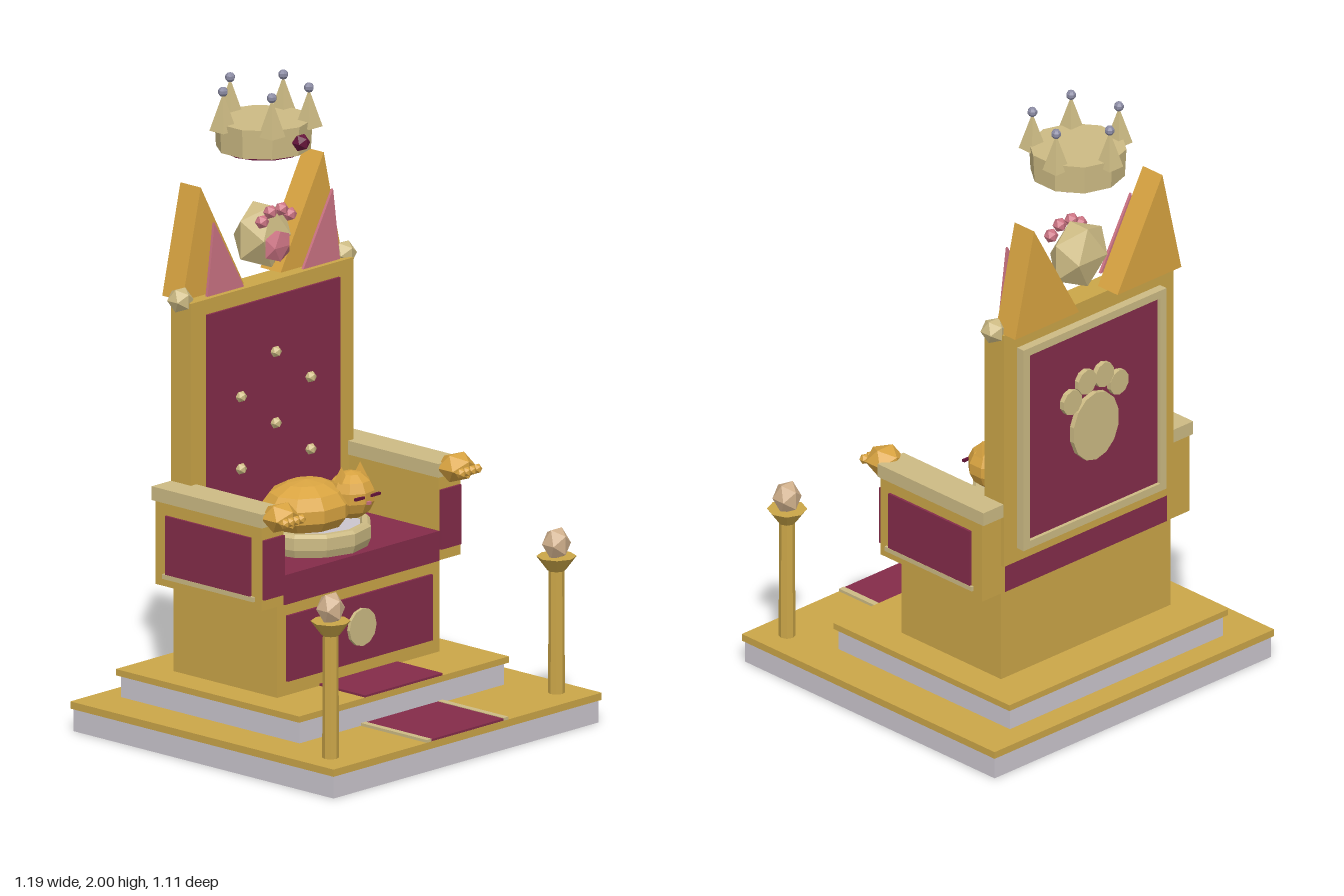
import * as THREE from 'three';

const mat = (name, color) => {
  const m = new THREE.MeshStandardMaterial({ color });
  m.name = name;
  return m;
};

export function createModel() {
  const gold = mat('gold', 0xcba648), amber = mat('amber', 0xd9a441), stone = mat('stone', 0xcbc6ce);
  const cream = mat('cream', 0xcdbb84), red = mat('velvet red', 0x842c4a), pink = mat('pink', 0xcc7484);
  const flame = mat('tan crystal', 0xd0b08c), gem = mat('dark garnet', 0x64143a), pearl = mat('slate pearl', 0x8c8ca4);

  const root = new THREE.Group();
  root.name = 'throne';

  // Faceted mesh helper
  const add = (name, geo, material, x = 0, y = 0, z = 0, parent = root) => {
    const g = geo.index ? geo.toNonIndexed() : geo;
    g.computeVertexNormals();
    const m = new THREE.Mesh(g, material);
    m.name = name;
    m.position.set(x, y, z);
    parent.add(m);
    return m;
  };
  // Box from its min and max on each axis
  const box = (name, material, x0, x1, y0, y1, z0, z1) =>
    add(name, new THREE.BoxGeometry(x1 - x0, y1 - y0, z1 - z0), material, (x0 + x1) / 2, (y0 + y1) / 2, (z0 + z1) / 2);
  const ico = (name, material, r, x, y, z, sx = 1, sy = 1, sz = 1) =>
    add(name, new THREE.IcosahedronGeometry(r, 0).scale(sx, sy, sz), material, x, y, z);
  // Disc facing along z
  const disc = (name, material, rx, ry, depth, x, y, z, sides = 12) =>
    add(name, new THREE.CylinderGeometry(1, 1, depth, sides).rotateX(Math.PI / 2).scale(rx, ry, 1), material, x, y, z);
  const triangle = (name, material, pts, depth, z) => {
    const shape = new THREE.Shape(pts.map(p => new THREE.Vector2(...p)));
    return add(name, new THREE.ExtrudeGeometry(shape, { depth, bevelEnabled: false }), material, 0, 0, z);
  };

  // Stepped dais
  box('lowerStepStone', stone, -0.59, 0.59, 0, 0.072, -0.55, 0.55);
  box('lowerStepTop', gold, -0.597, 0.597, 0.072, 0.095, -0.557, 0.557);
  box('upperStepStone', stone, -0.455, 0.455, 0.095, 0.165, -0.478, 0.278);
  box('upperStepTop', gold, -0.467, 0.467, 0.165, 0.185, -0.488, 0.288);

  // Carpet runner
  box('upperCarpet', red, -0.173, 0.173, 0.185, 0.192, 0.09, 0.287);
  box('lowerCarpet', red, -0.161, 0.161, 0.095, 0.102, 0.278, 0.556);

  // Seat
  box('seatBase', gold, -0.362, 0.362, 0.185, 0.48, -0.343, 0.095);
  box('seatFrontPanel', red, -0.322, 0.322, 0.23, 0.44, 0.095, 0.104);
  disc('seatMedallion', cream, 0.06, 0.06, 0.012, 0, 0.34, 0.109);
  box('seatCushion', red, -0.345, 0.345, 0.48, 0.575, -0.345, 0.11);

  // Backrest with front panel and studs
  box('backrest', gold, -0.362, 0.362, 0.575, 1.37, -0.355, -0.27);
  box('backrestPanel', red, -0.295, 0.295, 0.612, 1.322, -0.27, -0.261);
  for (const [x, y] of [[0, 1.147], [-0.155, 1.035], [0.155, 1.035], [0, 0.92], [-0.155, 0.805], [0.155, 0.805]])
    ico('backrestStud', cream, 0.019, x, y, -0.254);

  // Rear panel, frame and paw emblem
  box('rearPanel', red, -0.285, 0.285, 0.64, 1.29, -0.372, -0.355);
  for (const s of [-1, 1]) {
    box('rearFrameSide', cream, s * 0.292 - 0.013, s * 0.292 + 0.013, 0.62, 1.31, -0.384, -0.355);
    box('rearFrameRail', cream, -0.279, 0.279, 0.965 + s * 0.332 - 0.013, 0.965 + s * 0.332 + 0.013, -0.384, -0.355);
  }
  disc('rearPawPad', cream, 0.098, 0.115, 0.018, 0, 0.945, -0.38, 14);
  for (const [x, y] of [[-0.1, 1.06], [-0.037, 1.108], [0.037, 1.108], [0.1, 1.06]])
    disc('rearPawToe', cream, 0.04, 0.042, 0.018, x, y, -0.38, 10);

  // Mirrored parts
  for (const s of [-1, 1]) {
    const sideBox = (name, m, x0, x1, ...rest) => box(name, m, Math.min(s * x0, s * x1), Math.max(s * x0, s * x1), ...rest);

    sideBox('carpetTrim', cream, 0.161, 0.182, 0.095, 0.104, 0.278, 0.557);

    // Armrest
    sideBox('arm', gold, 0.345, 0.443, 0.48, 0.746, -0.343, 0.106);
    sideBox('armFrontPanel', red, 0.349, 0.439, 0.515, 0.705, 0.106, 0.115);
    sideBox('armSidePanel', red, 0.443, 0.451, 0.52, 0.707, -0.296, 0.063);
    sideBox('armSideTrim', cream, 0.443, 0.452, 0.505, 0.52, -0.306, 0.078);
    sideBox('armCap', cream, 0.338, 0.448, 0.746, 0.79, -0.354, 0.112);
    ico('armPaw', amber, 0.062, s * 0.392, 0.775, 0.138, 1, 0.8, 1);
    for (let i = 0; i < 4; i++)
      ico('armPawToe', amber, 0.017, s * 0.392 + (i - 1.5) * 0.024, 0.772, 0.19);

    // Backrest finial and ear
    ico('backrestFinial', cream, 0.042, s * 0.364, 1.375, -0.313);
    triangle('backrestEar', amber, [[s * 0.355, 1.37], [s * 0.082, 1.37], [s * 0.274, 1.715]], 0.086, -0.398);
    triangle('earInner', pink, [[s * 0.295, 1.38], [s * 0.132, 1.38], [s * 0.264, 1.61]], 0.009, -0.272);

    ico('cushionStud', cream, 0.019, s * 0.23, 0.582, -0.1);

    // Lamp post
    const lamp = new THREE.Group();
    lamp.name = 'lampPost';
    lamp.position.set(s * 0.503, 0, 0.455);
    root.add(lamp);
    add('lampColumn', new THREE.CylinderGeometry(0.024, 0.026, 0.4, 8), gold, 0, 0.295, 0, lamp);
    add('lampCup', new THREE.CylinderGeometry(0.062, 0.028, 0.045, 8), gold, 0, 0.508, 0, lamp);
    add('lampCrystal', new THREE.IcosahedronGeometry(0.046, 0).scale(1, 1.2, 1), flame, 0, 0.57, 0, lamp);
  }

  // Pet bed
  const bed = [[0, 0.575], [0.185, 0.575], [0.195, 0.6], [0.195, 0.638], [0.185, 0.648], [0.168, 0.648], [0.16, 0.63]];
  add('bedRim', new THREE.LatheGeometry(bed.map(p => new THREE.Vector2(...p)), 12), cream, -0.02, 0, -0.095);
  add('bedPad', new THREE.CylinderGeometry(0.166, 0.166, 0.05, 12), stone, -0.02, 0.61, -0.095);

  // Sleeping cat
  add('catBody', new THREE.SphereGeometry(1, 10, 7).scale(0.158, 0.09, 0.132), amber, -0.028, 0.687, -0.1);
  add('catHead', new THREE.SphereGeometry(0.076, 9, 7), amber, 0.097, 0.717, -0.028);
  for (const s of [-1, 1]) {
    add('catEar', new THREE.ConeGeometry(0.024, 0.05, 4).rotateY(Math.PI / 4), amber, 0.097 + s * 0.042, 0.787, -0.03);
    box('catEye', gem, 0.097 + s * 0.035 - 0.02, 0.097 + s * 0.035 + 0.02, 0.718, 0.726, 0.036, 0.045);
  }
  box('catNose', pink, 0.089, 0.105, 0.698, 0.708, 0.043, 0.051);

  // Floating paw crest
  add('pawCrest', new THREE.IcosahedronGeometry(0.115, 0).rotateZ(Math.PI / 2).scale(1, 1, 0.65), cream, 0, 1.51, -0.312);
  add('pawCrestPad', new THREE.IcosahedronGeometry(0.062, 0).rotateZ(Math.PI / 2).scale(1, 0.9, 0.4), pink, 0, 1.485, -0.248);
  for (const [x, y] of [[-0.062, 1.573], [-0.025, 1.597], [0.025, 1.597], [0.062, 1.573]])
    ico('pawCrestToe', pink, 0.023, x, y, -0.254);

  // Floating crown
  const cz = -0.307;
  add('crownBand', new THREE.CylinderGeometry(0.152, 0.147, 0.092, 10), cream, 0, 1.835, cz);
  add('crownLining', new THREE.CylinderGeometry(0.122, 0.122, 0.012, 12), gem, 0, 1.785, cz);
  for (let i = 0; i < 5; i++) {
    const a = (i / 5) * Math.PI * 2, x = Math.sin(a) * 0.141, z = cz - Math.cos(a) * 0.141;
    add('crownSpike', new THREE.ConeGeometry(0.042, 0.12, 4).rotateY(Math.PI / 4), cream, x, 1.92, z);
    add('crownPearl', new THREE.SphereGeometry(0.016, 7, 5), pearl, x, 1.984, z);
  }
  ico('crownGem', gem, 0.029, 0, 1.834, -0.148);

  return root;
}
